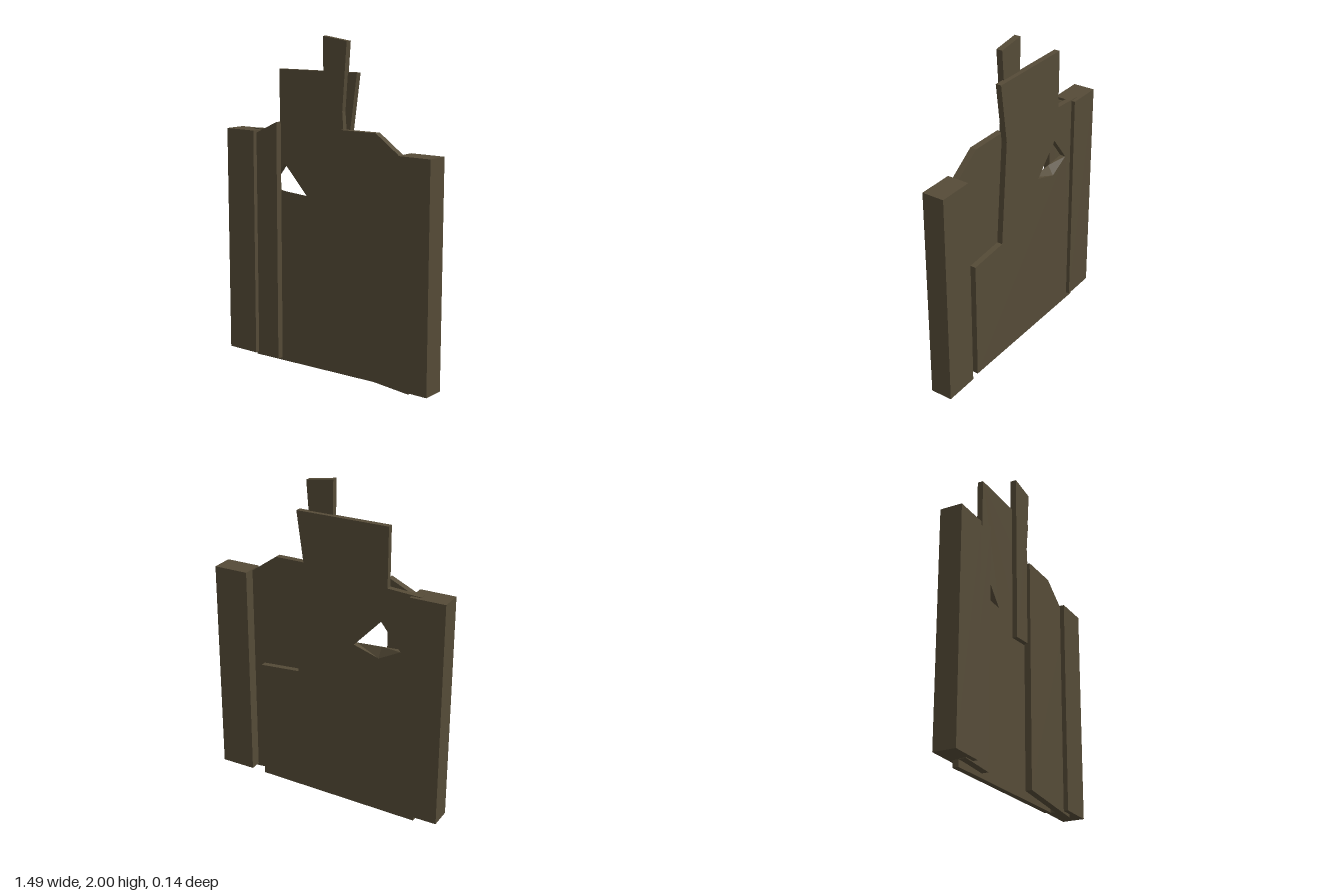
import * as THREE from 'three';

const wood = new THREE.MeshStandardMaterial({ color: 0x554b37 });
wood.name = 'dark weathered wood';

const toPoints = (list) => list.map(([x, y]) => new THREE.Vector2(x, y));

// Flat board cut to an outline, from z0 to z1
function board(name, outline, z0, z1, hole) {
  const shape = new THREE.Shape(toPoints(outline));
  if (hole) shape.holes.push(new THREE.Path(toPoints(hole)));
  const geometry = new THREE.ExtrudeGeometry(shape, { depth: z1 - z0, bevelEnabled: false });
  geometry.translate(0, 0, z0);
  const mesh = new THREE.Mesh(geometry, wood);
  mesh.name = name;
  return mesh;
}

// Square post from corner to corner
function post(name, x0, x1, y0, y1) {
  const geometry = new THREE.BoxGeometry(x1 - x0, y1 - y0, 0.136);
  geometry.translate((x0 + x1) / 2, (y0 + y1) / 2, 0);
  const mesh = new THREE.Mesh(geometry, wood);
  mesh.name = name;
  return mesh;
}

export function createModel() {
  const group = new THREE.Group();
  group.name = 'brokenFencePanel';

  // Posts at either end
  group.add(post('rightPost', -0.745, -0.53, 0.04, 1.43));
  group.add(post('leftPost', 0.525, 0.742, 0.04, 1.37));

  // Wide back board with a splintered hole
  const back = board('backBoard', [
    [-0.59, 0], [0.45, 0.02], [0.45, 0.78], [0.19, 0.8], [0.14, 1.44],
    [0.19, 1.8], [-0.385, 1.8], [-0.385, 1.445], [-0.59, 1.433],
  ], -0.045, -0.01, [[-0.35, 1.24], [-0.18, 1.06], [-0.34, 1.01], [-0.475, 1.08]]);
  // The hole narrows toward the front along its lower lip
  const p = back.geometry.attributes.position;
  for (let i = 0; i < p.count; i++) {
    if (Math.abs(p.getX(i) + 0.34) < 0.001 && Math.abs(p.getY(i) - 1.01) < 0.001 && p.getZ(i) > -0.02) {
      p.setY(i, 1.07);
    }
  }
  back.geometry.computeVertexNormals();
  group.add(back);

  // Front boards beside each post
  group.add(board('rightFrontBoard', [
    [-0.6, 0.036], [-0.37, 0.025], [-0.37, 1.49], [-0.53, 1.415], [-0.6, 1.39],
  ], 0, 0.04));
  group.add(board('leftFrontBoard', [
    [0.12, 0.06], [0.6, 0.02], [0.6, 1.31], [0.36, 1.478], [0.11, 1.478],
  ], 0, 0.04));

  // Tall narrow plank between them
  group.add(board('centrePlank', [
    [-0.015, 0.94], [0.16, 0.955], [0.11, 1.58], [0.14, 1.975], [-0.03, 2],
  ], -0.018, 0.02));

  return group;
}
